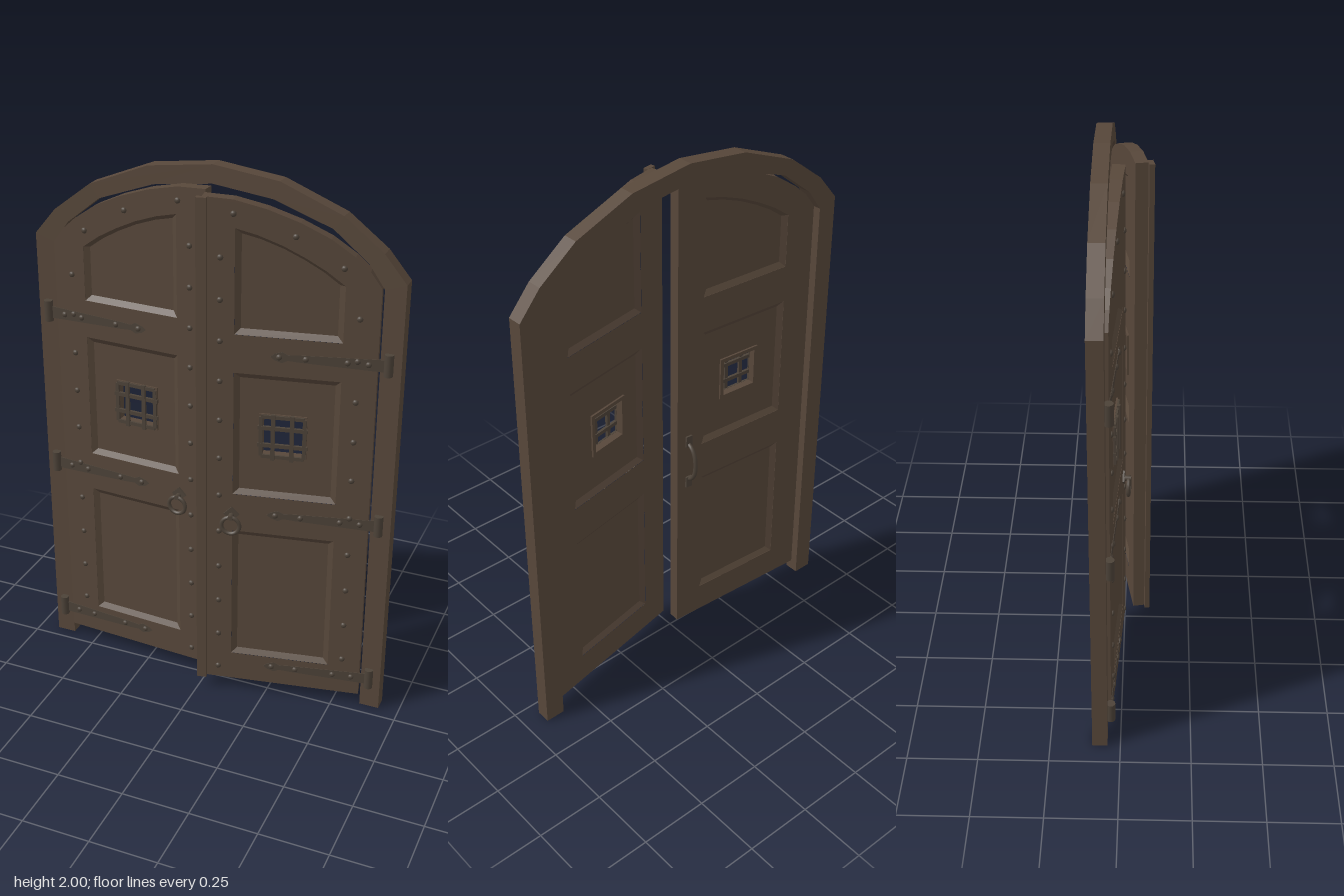
import * as THREE from 'three';

const wood = new THREE.MeshStandardMaterial({ color: 0x57473a });
wood.name = 'brown wood';
wood.flatShading = true;
const iron = new THREE.MeshStandardMaterial({ color: 0x4c4238 });
iron.name = 'dark iron';

const WIDTH = 0.594, THICK = 0.043, BOTTOM = 0.05;
const toShape = (pts) => new THREE.Shape(pts.map(([x, y]) => new THREE.Vector2(x, y)));
const rect = (x0, y0, x1, y1) => [[x0, y0], [x1, y0], [x1, y1], [x0, y1]];

function add(parent, name, geometry, material, x = 0, y = 0, z = 0) {
  const mesh = new THREE.Mesh(geometry, material);
  mesh.name = name;
  mesh.position.set(x, y, z);
  parent.add(mesh);
  return mesh;
}

// Flat slab between two depths, with optional openings
function slab(outline, holes, z0, z1) {
  const shape = toShape(outline);
  holes.forEach((h) => shape.holes.push(toShape(h)));
  return new THREE.ExtrudeGeometry(shape, { depth: z1 - z0, bevelEnabled: false, curveSegments: 8 }).translate(0, 0, z0);
}

// Shrinks a loop by d on every side of its bounding box
function inset(pts, d) {
  const xs = pts.map((p) => p[0]), ys = pts.map((p) => p[1]);
  const x0 = Math.min(...xs), x1 = Math.max(...xs), y0 = Math.min(...ys), y1 = Math.max(...ys);
  const cx = (x0 + x1) / 2, cy = (y0 + y1) / 2;
  return pts.map(([x, y]) => [cx + (x - cx) * (1 - 2 * d / (x1 - x0)), cy + (y - cy) * (1 - 2 * d / (y1 - y0))]);
}

// Sloping moulding from a loop at depth zA to its inset at depth zB
function moulding(loop, d, zA, zB) {
  const ccw = !THREE.ShapeUtils.isClockWise(loop.map(([x, y]) => new THREE.Vector2(x, y)));
  const outer = ccw ? loop : [...loop].reverse();
  const inner = inset(outer, d);
  const pos = [];
  outer.forEach((a, i) => {
    const j = (i + 1) % outer.length;
    const A = [...a, zA], B = [...outer[j], zA], C = [...inner[j], zB], D = [...inner[i], zB];
    const tris = zA > zB ? [A, B, C, A, C, D] : [A, C, B, A, D, C];
    tris.forEach((p) => pos.push(...p));
  });
  const g = new THREE.BufferGeometry();
  g.setAttribute('position', new THREE.Float32BufferAttribute(pos, 3));
  g.computeVertexNormals();
  return g;
}

// One leaf: local distance s runs from hinge (0) to free edge, m is its direction in x
function makeLeaf(m) {
  const leaf = new THREE.Group();
  const flip = (pts) => pts.map(([s, y]) => [m * s, y]);

  const outline = flip([[0, BOTTOM], [WIDTH, BOTTOM], [WIDTH, 1.93], [0.49, 1.925], [0.38, 1.9], [0.27, 1.862],
    [0.17, 1.815], [0.09, 1.76], [0.04, 1.715], [0, 1.66]]);
  const middle = flip(rect(0.118, 0.85, 0.484, 1.32));
  const panels = [
    flip(rect(0.118, 0.165, 0.484, 0.7)), middle,
    flip([[0.118, 1.46], [0.484, 1.46], [0.484, 1.83], [0.41, 1.812], [0.327, 1.782], [0.25, 1.745], [0.18, 1.705], [0.118, 1.66]]),
  ];
  add(leaf, 'stiles and rails', slab(outline, panels, -THICK, 0), wood);

  // Recessed panels with mouldings on both faces
  const wx = m * 0.312, wy = 1.088;
  const opening = rect(wx - 0.07, wy - 0.07, wx + 0.07, wy + 0.07);
  panels.forEach((p) => {
    add(leaf, 'panel', slab(p, p === middle ? [opening] : [], -0.029, -0.014), wood);
    add(leaf, 'front moulding', moulding(p, 0.02, -0.001, -0.0138), wood);
    add(leaf, 'back moulding', moulding(p, 0.02, -THICK + 0.001, -0.0292), wood);
  });

  // Peephole window and grille
  add(leaf, 'window frame', slab(rect(wx - 0.084, wy - 0.084, wx + 0.084, wy + 0.084), [opening], -0.036, -0.008), wood);
  for (const o of [-0.033, 0.033]) {
    add(leaf, 'grille upright', new THREE.BoxGeometry(0.014, 0.175, 0.01), iron, wx + o, wy, -0.001);
    add(leaf, 'grille crossbar', new THREE.BoxGeometry(0.175, 0.014, 0.01), iron, wx, wy + o, -0.005);
  }
  for (const o of [-0.076, 0.076]) {
    add(leaf, 'grille side strip', new THREE.BoxGeometry(0.013, 0.15, 0.008), iron, wx + o, wy, -0.005);
    add(leaf, 'grille end strip', new THREE.BoxGeometry(0.15, 0.013, 0.008), iron, wx, wy + o, -0.005);
  }

  // Domed studs
  const studGeo = new THREE.SphereGeometry(0.011, 10, 4, 0, Math.PI * 2, 0, Math.PI / 2).rotateX(Math.PI / 2).scale(1, 1, 0.75);
  const stud = (s, y, z = 0) => add(leaf, 'stud', studGeo, iron, m * s, y, z);
  for (let i = 0; i < 12; i++) stud(0.533, 0.1 + i * 0.148);
  for (let i = 0; i < 10; i++) stud(0.067, 0.2 + i * 0.15);
  [[0.125, 1.72], [0.285, 1.815], [0.49, 1.878]].forEach(([s, y]) => stud(s, y));

  // Strap hinges
  for (const y of [0.125, 0.78, 1.392]) {
    const strap = flip([[-0.025, y - 0.022], [0.26, y - 0.013], [0.3, y - 0.01], [0.32, y - 0.02], [0.345, y - 0.012],
      [0.36, y], [0.345, y + 0.012], [0.32, y + 0.02], [0.3, y + 0.01], [0.26, y + 0.013], [-0.025, y + 0.022]]);
    add(leaf, 'hinge strap', slab(strap, [], -0.002, 0.002), iron);
    add(leaf, 'hinge knuckle', new THREE.CylinderGeometry(0.016, 0.016, 0.078, 12), iron, m * -0.036, y + 0.005, 0.003);
    for (const s of [0.03, 0.1, 0.24, 0.33]) stud(s, y, 0.001);
  }

  // Ring pull
  const px = m * 0.487;
  const boss = add(leaf, 'ring plate', new THREE.BoxGeometry(0.04, 0.04, 0.008), iron, px, 0.77, 0.003);
  boss.rotation.z = Math.PI / 4;
  add(leaf, 'ring post', new THREE.CylinderGeometry(0.009, 0.011, 0.03, 10).rotateX(Math.PI / 2), iron, px, 0.766, 0.015);
  add(leaf, 'pull ring', new THREE.TorusGeometry(0.033, 0.0075, 8, 24), iron, px, 0.732, 0.021);
  return leaf;
}

export function createModel() {
  const model = new THREE.Group();
  model.name = 'arched double door';

  // Arched frame
  const outer = [[0.675, 0], [0.675, 1.68], [0.595, 1.775], [0.455, 1.882], [0.235, 1.97]];
  const inner = [[0.215, 1.908], [0.42, 1.835], [0.545, 1.735], [0.602, 1.655], [0.602, 0]];
  const mirror = (pts) => pts.map(([x, y]) => [-x, y]).reverse();
  add(model, 'frame', slab([...outer, [0, 2], ...mirror(outer), ...mirror(inner), [0, 1.935], ...inner], [], -0.1, -0.046), wood);

  // Two leaves standing ajar by different amounts
  const place = (m, angle, name) => {
    const leaf = makeLeaf(m);
    leaf.name = name;
    leaf.position.set(-m * 0.597, 0, -0.035);
    leaf.rotation.y = -m * angle;
    model.add(leaf);
    return leaf;
  };
  const rightLeaf = place(1, 0.063, 'right leaf');
  const leftLeaf = place(-1, 0.187, 'left leaf');

  // Cover strip over the meeting edge
  add(leftLeaf, 'meeting strip', new THREE.BoxGeometry(0.036, 1.88, 0.018), wood, -WIDTH, 0.99, 0.009);

  // Back handle on the right leaf
  const curve = new THREE.CatmullRomCurve3([[0.72, -0.04], [0.735, -0.065], [0.765, -0.082], [0.8, -0.086],
    [0.835, -0.082], [0.865, -0.065], [0.88, -0.04]].map(([y, z]) => new THREE.Vector3(0.545, y, z)));
  add(rightLeaf, 'back handle', new THREE.TubeGeometry(curve, 20, 0.008, 8), iron);
  for (const y of [0.71, 0.89])
    add(rightLeaf, 'handle plate', new THREE.BoxGeometry(0.026, 0.045, 0.008), iron, 0.545, y, -THICK - 0.003);
  return model;
}
